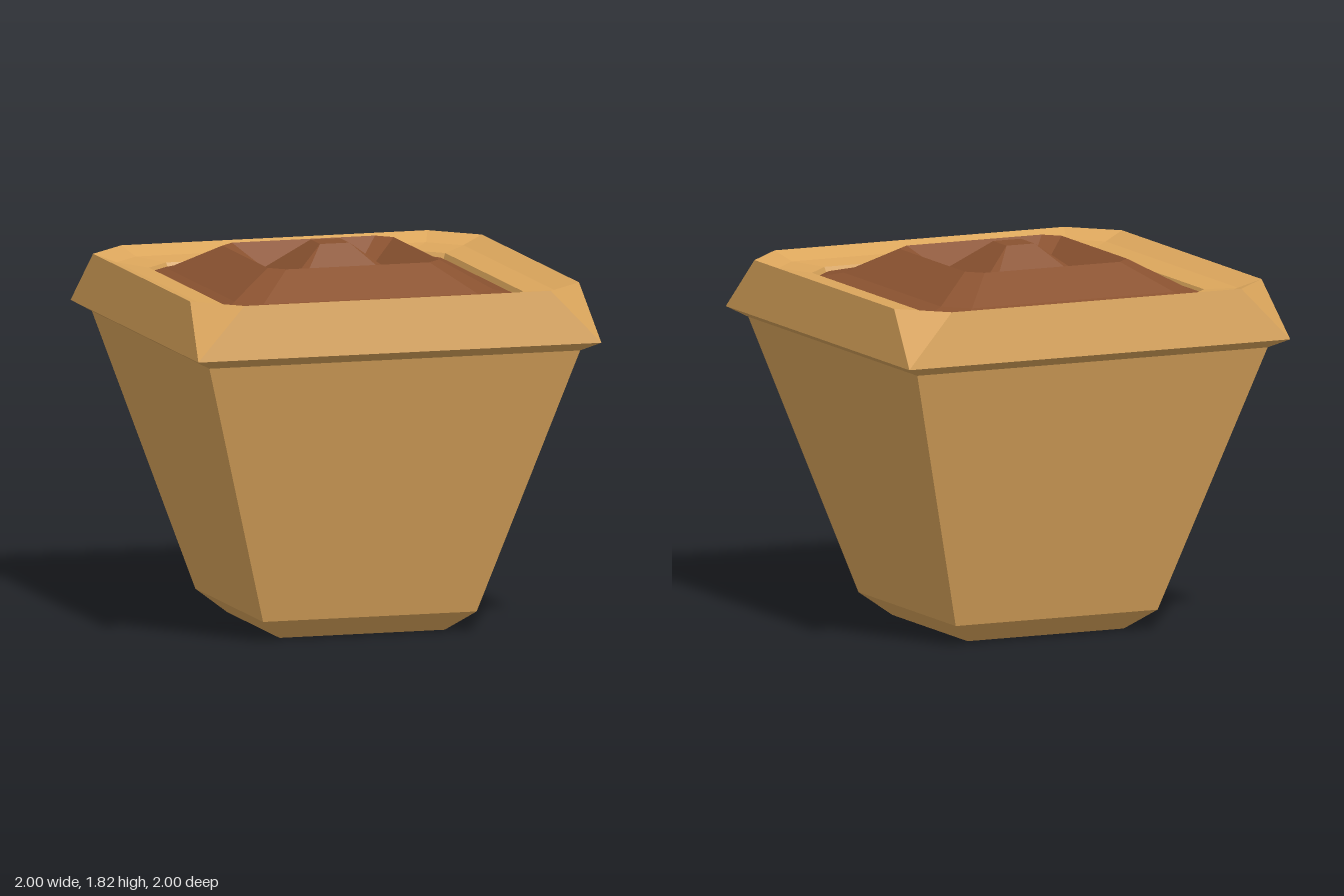
import * as THREE from 'three';

// Square ring with cut corners: h = half width, c = where the corner cut starts
function ring([h, c, y, dx = 0, dz = 0]) {
  return [[h, c], [h, -c], [c, -h], [-c, -h], [-h, -c], [-h, c], [-c, h], [c, h]]
    .map(([x, z]) => new THREE.Vector3(x + dx, y, z + dz));
}

// Skin a stack of rings, optionally closing the first (facing down) and last (facing up)
function loft(name, color, profile, capStart, capEnd) {
  const rings = profile.map(ring);
  const pos = [];
  const tri = (a, b, c) => {
    const area = b.clone().sub(a).cross(c.clone().sub(a)).length();
    if (area > 1e-7) for (const p of [a, b, c]) pos.push(p.x, p.y, p.z);
  };
  for (let r = 0; r < rings.length - 1; r++) {
    const a = rings[r], b = rings[r + 1];
    for (let i = 0; i < 8; i++) {
      const j = (i + 1) % 8;
      tri(a[i], a[j], b[j]);
      tri(a[i], b[j], b[i]);
    }
  }
  const first = rings[0], last = rings[rings.length - 1];
  for (let i = 1; i < 7; i++) {
    if (capStart) tri(first[0], first[i + 1], first[i]);
    if (capEnd) tri(last[0], last[i], last[i + 1]);
  }
  const geo = new THREE.BufferGeometry();
  geo.setAttribute('position', new THREE.Float32BufferAttribute(pos, 3));
  geo.computeVertexNormals();
  const mesh = new THREE.Mesh(geo, new THREE.MeshStandardMaterial({ color, flatShading: true }));
  mesh.name = name;
  return mesh;
}

export function createModel() {
  const group = new THREE.Group();
  group.name = 'plantPot';
  const clay = 0xdca65c, earth = 0x8a5230;

  // Tapered square body with a bevelled foot
  group.add(loft('potBody', clay, [
    [0.41, 0.41, 0],
    [0.53, 0.53, 0.1],
    [0.92, 0.92, 1.39],
  ], true, false));

  // Overhanging rim with cut corners, dished top, inner wall and floor
  group.add(loft('rim', clay, [
    [0.92, 0.92, 1.39],
    [1.0, 1.0, 1.435],
    [0.965, 0.76, 1.69],
    [0.86, 0.72, 1.65],
    [0.735, 0.61, 1.635],
    [0.72, 0.6, 1.59],
  ], false, true));

  // Soil: raised ring, dip and small central mound, slightly off centre
  group.add(loft('soil', earth, [
    [0.725, 0.605, 1.59, -0.013],
    [0.725, 0.605, 1.615, -0.013],
    [0.64, 0.53, 1.64, -0.03, -0.005],
    [0.425, 0.355, 1.765, -0.025, -0.005],
    [0.285, 0.235, 1.655, -0.025, -0.005],
    [0.073, 0.073, 1.82, -0.028, -0.005],
  ], false, true));

  return group;
}
